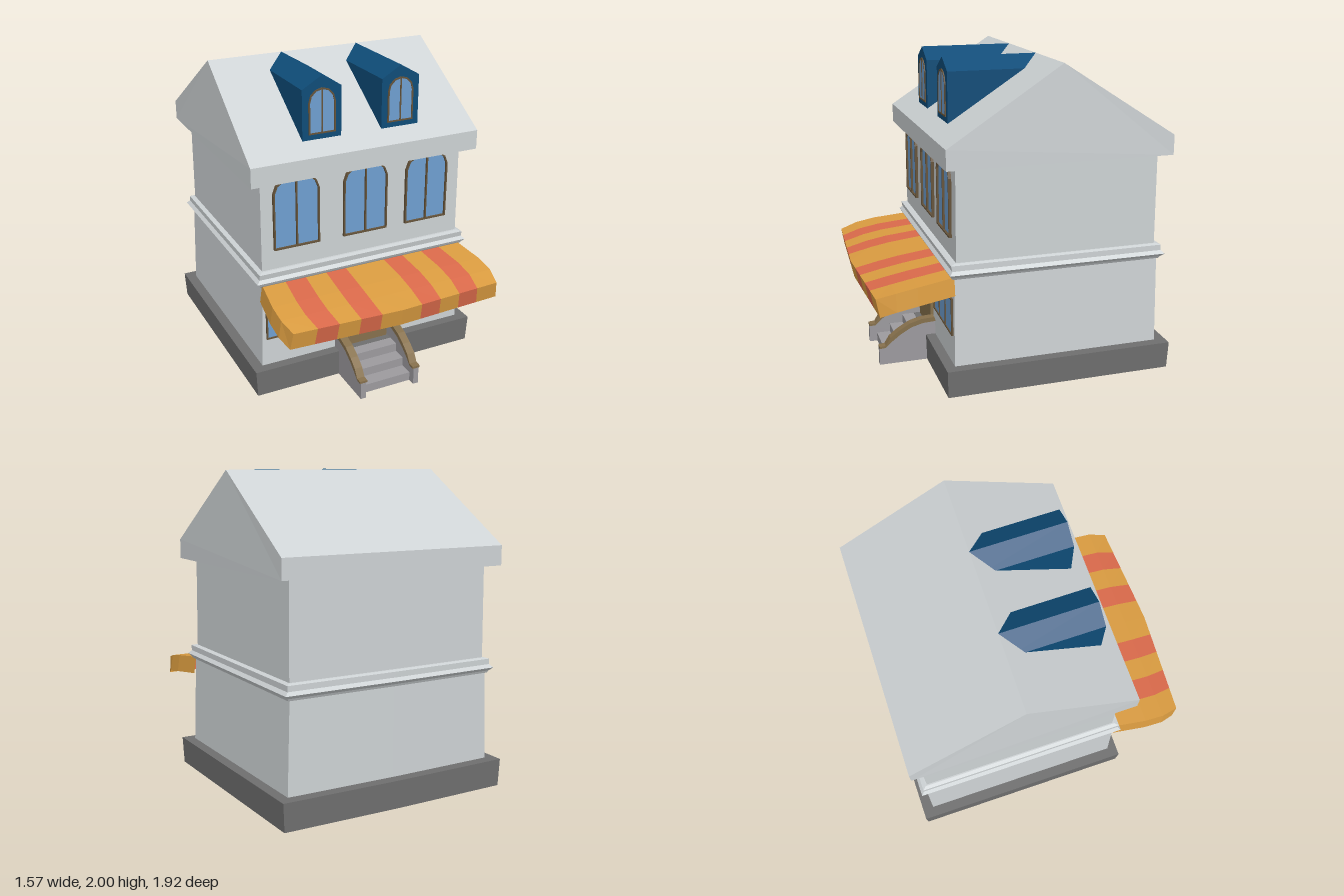
import * as THREE from 'three';

const mat = (name, color, extra = {}) => {
  const m = new THREE.MeshStandardMaterial({ color, flatShading: true, ...extra });
  m.name = name;
  return m;
};

export function createModel() {
  const wall = mat('pale grey wall', 0xcdd2d4);
  const stone = mat('dark grey stone', 0x6f6f6f);
  const stair = mat('stair grey', 0x9c9a9e);
  const glass = mat('blue glass', 0x6f9fd0);
  const blue = mat('dormer blue', 0x0e4c78);
  const wood = mat('brown wood', 0x86704c);
  const trim = mat('dark window frame', 0x65533a);
  const orange = mat('awning orange', 0xd99b40, { side: THREE.DoubleSide });
  const red = mat('awning red', 0xd9694a, { side: THREE.DoubleSide });

  const model = new THREE.Group();
  model.name = 'shopHouse';
  const add = (name, geo, m, parent = model) => {
    const mesh = new THREE.Mesh(geo, m);
    mesh.name = name;
    parent.add(mesh);
    return mesh;
  };
  const box = (name, w, h, d, x, y, z, m, parent) =>
    add(name, new THREE.BoxGeometry(w, h, d).translate(x, y, z), m, parent);

  // Flat-shaded geometry from a list of quads (each four corners)
  const quadGeometry = (quads) => {
    const p = [];
    for (const [a, b, c, d] of quads) p.push(...a, ...b, ...c, ...a, ...c, ...d);
    const g = new THREE.BufferGeometry();
    g.setAttribute('position', new THREE.Float32BufferAttribute(p, 3));
    g.computeVertexNormals();
    return g;
  };

  // Stacked rectangles [y, halfWidth, zFront, zBack] with a slightly bowed back
  const loft = (levels, bow = 0.01) => {
    const rings = levels.map(([y, w, f, b]) =>
      [[w, y, f], [w, y, b], [0, y, b - bow], [-w, y, b], [-w, y, f], [0, y, f]]);
    const quads = [];
    for (let k = 0; k + 1 < rings.length; k++)
      for (let i = 0; i < 6; i++) {
        const j = (i + 1) % 6;
        quads.push([rings[k][i], rings[k][j], rings[k + 1][j], rings[k + 1][i]]);
      }
    const [b, t] = [rings[0], rings[rings.length - 1]];
    quads.push([t[0], t[1], t[2], t[5]], [t[5], t[2], t[3], t[4]]);
    quads.push([b[5], b[2], b[1], b[0]], [b[4], b[3], b[2], b[5]]);
    return quadGeometry(quads);
  };

  // Outline of points [z, y] extruded along x
  const sideExtrude = (pts, width, cx = 0) => {
    const s = new THREE.Shape(pts.map(([z, y]) => new THREE.Vector2(-z, y)));
    return new THREE.ExtrudeGeometry(s, { depth: width, bevelEnabled: false })
      .translate(0, 0, -width / 2).rotateY(Math.PI / 2).translate(cx, 0, 0);
  };

  // Points of an upright opening with a faceted arch
  const archPoints = (w, y0, spring, top) => {
    const pts = [new THREE.Vector2(-w, y0), new THREE.Vector2(w, y0)];
    for (let i = 0; i <= 6; i++) {
      const a = (i / 6) * Math.PI;
      pts.push(new THREE.Vector2(w * Math.cos(a), spring + (top - spring) * Math.sin(a)));
    }
    return pts;
  };
  const plate = (pts, hole, x, z, depth) => {
    const s = new THREE.Shape(pts);
    if (hole) s.holes.push(new THREE.Path(hole));
    return new THREE.ExtrudeGeometry(s, { depth, bevelEnabled: false }).translate(x, 0, z);
  };
  const rectPoints = (w, y0, y1) =>
    [[-w, y0], [w, y0], [w, y1], [-w, y1]].map(([x, y]) => new THREE.Vector2(x, y));

  // Framed window: outline made by shape(inset), with upright bars
  const makeWindow = (name, shape, x, z, depth, bars, y0, y1) => {
    const g = new THREE.Group();
    g.name = name;
    model.add(g);
    add('frame', plate(shape(0), shape(0.01), x, z, depth), trim, g);
    add('pane', plate(shape(0.005), null, x, z, 0.006), glass, g);
    for (const b of bars) box('bar', 0.009, y1 - y0, depth, x + b, (y0 + y1) / 2, z + depth / 2, trim, g);
  };

  // Plinth, storeys and cornice
  add('plinth', loft([[0, 0.776, 0.515, -0.945], [0.175, 0.785, 0.52, -0.95]]), stone);
  add('lowerWalls', loft([[0.17, 0.718, 0.457, -0.878], [0.745, 0.7, 0.452, -0.872]]), wall);
  add('cornice', loft([
    [0.735, 0.712, 0.462, -0.88], [0.75, 0.722, 0.475, -0.888], [0.77, 0.742, 0.486, -0.908],
    [0.79, 0.722, 0.468, -0.888], [0.825, 0.722, 0.475, -0.888], [0.832, 0.7, 0.45, -0.865],
  ], 0.007), wall);
  add('upperWalls', loft([[0.82, 0.692, 0.437, -0.855], [1.43, 0.688, 0.435, -0.852]], 0.003), wall);

  // Gabled roof, drawn in a little toward the ridge
  const roof = sideExtrude([[0.51, 1.415], [0.51, 1.54], [-0.2, 2], [-0.918, 1.54], [-0.918, 1.415]], 1.54);
  const rp = roof.attributes.position;
  for (let i = 0; i < rp.count; i++) if (rp.getY(i) > 1.6) rp.setX(i, rp.getX(i) * 0.981);
  roof.computeVertexNormals();
  add('roof', roof, wall);

  // Dormers with arched windows
  for (const x of [-0.267, 0.263]) {
    const pts = [[-0.128, 1.61], [0.128, 1.61], [0.128, 1.925], [0, 2], [-0.128, 1.925]]
      .map(([a, b]) => new THREE.Vector2(a, b));
    add('dormer', plate(pts, null, x, -0.2, 0.6), blue);
    makeWindow('dormerWindow', (t) => archPoints(0.088 - t, 1.645 + t, 1.84, 1.927 - t),
      x, 0.397, 0.01, [0], 1.65, 1.92);
  }

  // Upper arched windows
  for (const x of [-0.46, 0.008, 0.445])
    makeWindow('upperWindow', (t) => archPoints(0.152 - t, 0.96 + t, 1.325, 1.432 - t),
      x, 0.435, 0.02, [0], 0.965, 1.428);

  // Shop windows
  for (const [x, s] of [[-0.455, -1], [0.447, 1]])
    makeWindow('shopWindow', (t) => rectPoints(0.23 - t, 0.36 + t, 0.6 - t),
      x, 0.455, 0.012, [-0.083 * s, 0.07 * s], 0.365, 0.595);

  // Door with stepped surround
  const door = new THREE.Group();
  door.name = 'door';
  model.add(door);
  add('outerSurround', plate(archPoints(0.165, 0.175, 0.5, 0.565), archPoints(0.11, 0.17, 0.475, 0.54), 0, 0.45, 0.027), wood, door);
  add('innerSurround', plate(archPoints(0.112, 0.175, 0.476, 0.541), archPoints(0.092, 0.17, 0.465, 0.525), 0, 0.45, 0.02), wood, door);
  add('doorLeaf', plate(archPoints(0.095, 0.175, 0.467, 0.528), null, 0, 0.45, 0.012), wood, door);
  const lite = (t) => archPoints(0.086 - t, 0.36 + t, 0.475, 0.522 - t);
  add('doorWindowFrame', plate(lite(0), lite(0.01), 0, 0.46, 0.009), trim, door);
  add('doorWindow', plate(lite(0.008), null, 0, 0.46, 0.005), glass, door);
  box('doorHandle', 0.05, 0.014, 0.014, 0.083, 0.345, 0.47, trim, door);

  // Steps between curved side walls with wooden rails
  const steps = new THREE.Group();
  steps.name = 'steps';
  model.add(steps);
  [0.78, 0.69, 0.6].forEach((z, i) => {
    const h = 0.058 * (i + 1);
    box('step', 0.345, h, z - 0.5, 0, h / 2, (z + 0.5) / 2, stair, steps);
  });
  const curve = [[0.83, 0.115], [0.79, 0.118], [0.75, 0.155], [0.69, 0.2], [0.62, 0.24], [0.54, 0.262], [0.455, 0.266]];
  const lifted = curve.map(([z, y], i) => [z + (i > 1 ? 0.008 : 0), y + (i < 2 ? 0.014 : 0.029)]);
  for (const s of [-1, 1]) {
    add('stairWall', sideExtrude([[0.83, 0], ...curve, [0.455, 0]], 0.036, s * 0.19), stair, steps);
    add('stairRail', sideExtrude([...lifted, ...curve.slice().reverse()], 0.052, s * 0.19), wood, steps);
  }

  // Striped awning: rows [y, z, halfWidth], bowed forward, with a hanging edge
  const rows = [[0.745, 0.45, 0.7], [0.718, 0.68, 0.728], [0.695, 0.81, 0.728], [0.662, 0.925, 0.7], [0.55, 0.905, 0.715]];
  const cols = [-1, -0.785, -0.59, -0.39, -0.195, 0, 0.195, 0.39, 0.59, 0.785, 1];
  const at = (r, c) => {
    const [y, z, w] = rows[r];
    return [cols[c] * w, y, z + (r > 2 ? 0.038 * (1 - Math.abs(cols[c])) : 0)];
  };
  const orangeQuads = [], redQuads = [];
  for (let c = 0; c < 10; c++)
    for (let r = 0; r < 4; r++)
      ([1, 3, 6, 8].includes(c) ? redQuads : orangeQuads)
        .push([at(r, c), at(r + 1, c), at(r + 1, c + 1), at(r, c + 1)]);
  const hem = (r, s) => {
    const [y, z, w] = rows[r];
    return r === 3 ? at(4, s > 0 ? 10 : 0) : [s * (w + 0.016), y - 0.112, z];
  };
  for (const s of [-1, 1])
    for (let r = 0; r < 3; r++) {
      const c = s > 0 ? 10 : 0;
      const q = [at(r, c), hem(r, s), hem(r + 1, s), at(r + 1, c)];
      orangeQuads.push(s < 0 ? q : q.reverse());
    }
  const awning = new THREE.Group();
  awning.name = 'awning';
  model.add(awning);
  add('awningCloth', quadGeometry(orangeQuads), orange, awning);
  add('awningStripes', quadGeometry(redQuads), red, awning);

  return model;
}
